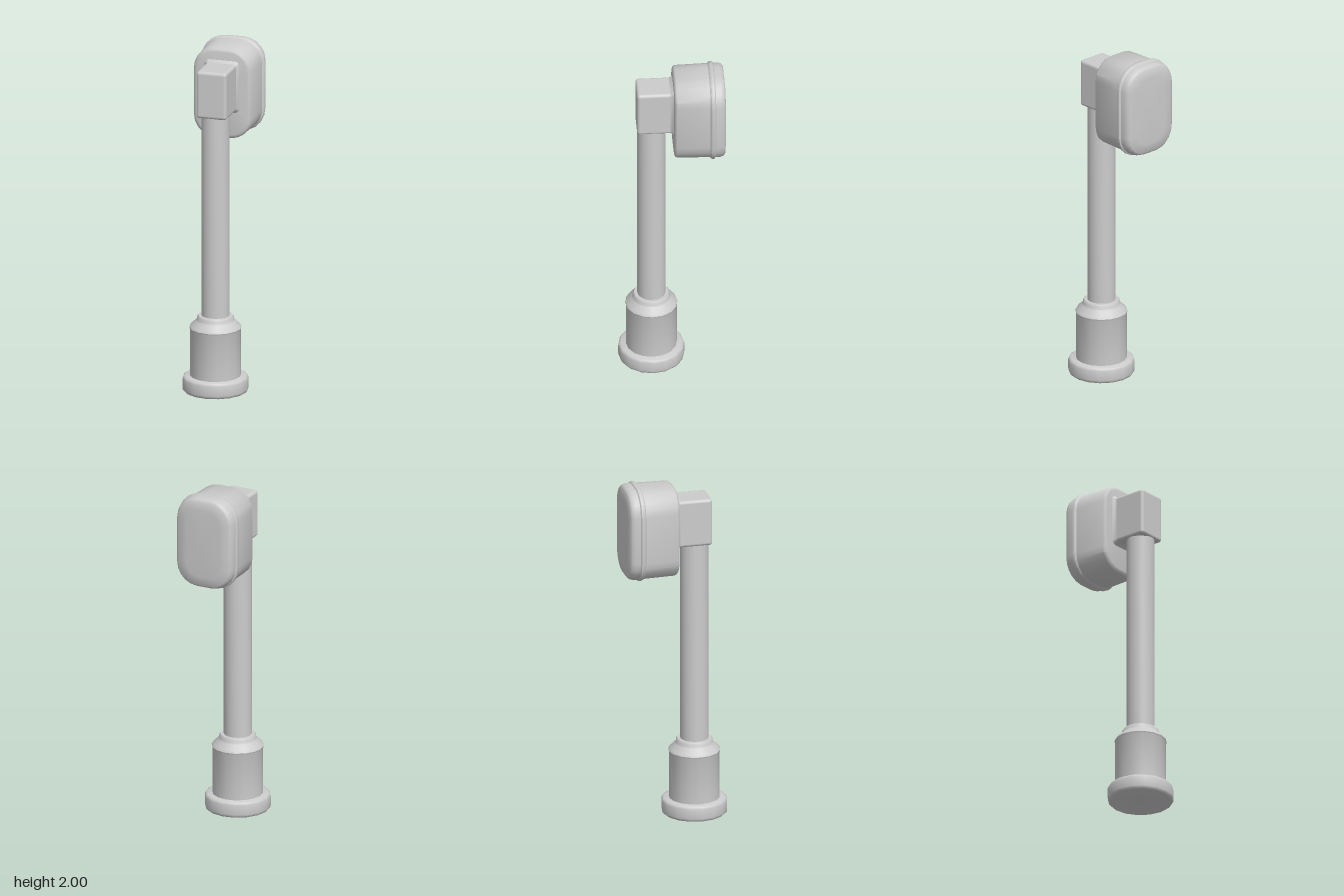
import * as THREE from 'three';
import { toCreasedNormals } from 'three/addons/utils/BufferGeometryUtils.js';
import { RoundedBoxGeometry } from 'three/addons/geometries/RoundedBoxGeometry.js';

const POLE_Z = 0.113;   // axis of the column
const HEAD_Y = 1.722;   // centre of the head

// Outline of a rounded rectangle, counter-clockwise seen from +z
function roundedRect(hw, hh, r, steps = 5) {
  const points = [];
  for (let corner = 0; corner < 4; corner++) {
    const sx = corner === 0 || corner === 3 ? 1 : -1;
    const sy = corner < 2 ? 1 : -1;
    for (let i = 0; i <= steps; i++) {
      const a = (corner + i / steps) * Math.PI / 2;
      points.push([sx * (hw - r) + r * Math.cos(a), sy * (hh - r) + r * Math.sin(a)]);
    }
  }
  return points;
}

// Skin over sections [z, half width, half height, corner radius], front to back
function loft(sections, crease) {
  const positions = [], index = [];
  const rings = sections.map(([z, hw, hh, r]) => roundedRect(hw, hh, r).map(([x, y]) => [x, y, z]));
  const n = rings[0].length;
  rings.forEach((ring) => ring.forEach((p) => positions.push(...p)));
  for (let i = 0; i < rings.length - 1; i++) {
    for (let j = 0; j < n; j++) {
      const k = (j + 1) % n;
      const a = i * n + j, b = i * n + k, c = b + n, d = a + n;
      index.push(a, d, c, a, c, b);
    }
  }
  const geometry = new THREE.BufferGeometry();
  geometry.setAttribute('position', new THREE.Float32BufferAttribute(positions, 3));
  geometry.setIndex(index);
  return toCreasedNormals(geometry, crease);
}

function turned(profile, sides) {
  const points = profile.map(([r, y]) => new THREE.Vector2(r, y));
  return toCreasedNormals(new THREE.LatheGeometry(points, sides), 0.85);
}

export function createModel() {
  const group = new THREE.Group();
  const grey = new THREE.MeshStandardMaterial({ color: 0xcccccc });
  grey.name = 'light grey';

  const add = (name, geometry, x, y, z) => {
    const mesh = new THREE.Mesh(geometry, grey);
    mesh.name = name;
    mesh.position.set(x, y, z);
    group.add(mesh);
  };

  // Foot disc with softened rims
  add('foot', turned([
    [0, 0], [0.178, 0], [0.186, 0.008], [0.188, 0.018],
    [0.188, 0.075], [0.184, 0.086], [0.174, 0.092], [0, 0.092],
  ], 16), 0, 0, POLE_Z);

  // Socket that narrows in a shoulder to a collar
  add('socket', turned([
    [0.145, 0.085], [0.145, 0.365], [0.149, 0.375], [0.142, 0.388],
    [0.112, 0.415], [0.106, 0.424], [0.105, 0.438], [0.098, 0.447], [0, 0.447],
  ], 16), 0, 0, POLE_Z);

  // Column
  add('column', turned([[0.08, 0.44], [0.08, 1.65]], 24), 0, 0, POLE_Z);

  // Block joining the column to the head
  add('neckBlock', new RoundedBoxGeometry(0.178, 0.278, 0.24, 3, 0.018), 0, 1.767, 0.079);

  // Small fillet where the block meets the head
  add('neckFillet', loft([
    [0.012, 0.088, 0.138, 0.018], [0, 0.093, 0.143, 0.02], [-0.014, 0.106, 0.156, 0.03],
  ], 0.7), 0, 1.767, 0);

  // Head: body, raised band and rounded back cover
  add('head', loft([
    [-0.01, 0, 0, 0],
    [-0.01, 0.148, 0.243, 0.105],
    [-0.013, 0.16, 0.255, 0.115],
    [-0.024, 0.17, 0.264, 0.125],
    [-0.212, 0.176, 0.267, 0.13],
    [-0.219, 0.186, 0.275, 0.138],
    [-0.228, 0.188, 0.277, 0.14],
    [-0.238, 0.187, 0.276, 0.139],
    [-0.244, 0.179, 0.268, 0.132],
    [-0.272, 0.178, 0.267, 0.131],
    [-0.29, 0.171, 0.261, 0.126],
    [-0.299, 0.16, 0.25, 0.116],
    [-0.303, 0.105, 0.2, 0.08],
    [-0.304, 0, 0, 0],
  ], 0.75), 0, HEAD_Y, 0);

  return group;
}
